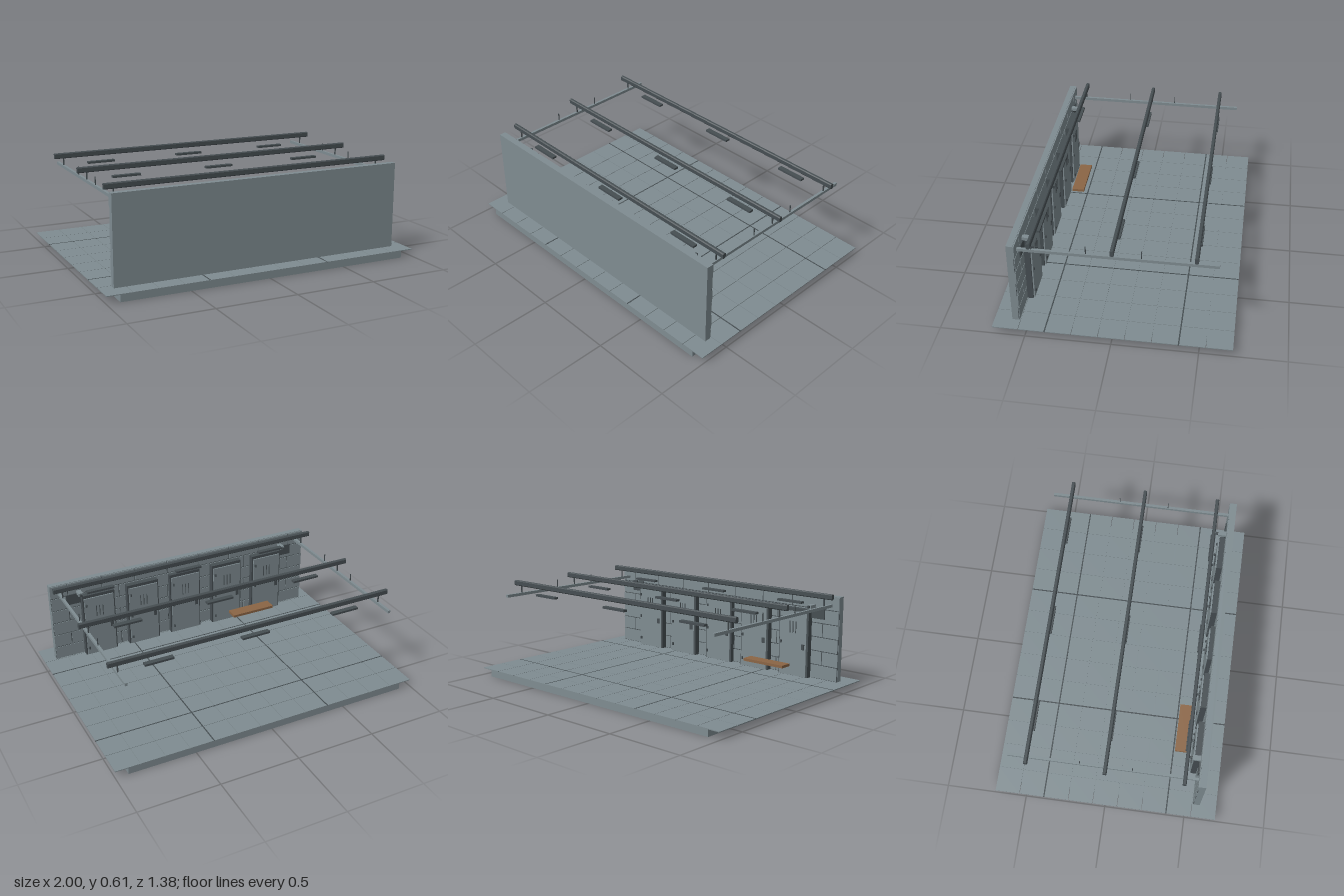
import * as THREE from 'three';

const mat = (name, color) => Object.assign(new THREE.MeshStandardMaterial({ color }), { name });

export function createModel() {
  const root = new THREE.Group();
  root.name = 'cellBlock';
  const stone = mat('stone grey', 0x7f8c91);
  const steel = mat('dark steel', 0x464e52);
  const wood = mat('bench wood', 0x8b6545);

  const group = (name) => {
    const g = new THREE.Group();
    g.name = name;
    root.add(g);
    return g;
  };
  // Box given by its extents on each axis
  const box = (parent, name, m, [x0, x1], [y0, y1], [z0, z1]) => {
    const mesh = new THREE.Mesh(new THREE.BoxGeometry(x1 - x0, y1 - y0, z1 - z0), m);
    mesh.position.set((x0 + x1) / 2, (y0 + y1) / 2, (z0 + z1) / 2);
    mesh.name = name;
    parent.add(mesh);
    return mesh;
  };
  const span = (c, size) => [c - size / 2, c + size / 2];

  // Floor slab with an overhanging layer of tiles
  const floor = group('floor');
  box(floor, 'floorSlab', stone, [-0.92, 0.92], [0, 0.043], [-0.69, 0.69]);
  const pitch = 2 / 13;
  for (let i = -6; i <= 6; i++) {
    for (let j = -4; j <= 4; j++) {
      box(floor, 'floorTile', stone, span(i * pitch, pitch - 0.003), [0.042, 0.047],
        span(j * pitch, pitch - 0.003));
    }
  }
  for (const s of [-1, 1]) {
    box(floor, 'floorSeam', steel, span(s * 2.5 * pitch, 0.008), [0.044, 0.0475], [-0.69, 0.69]);
    box(floor, 'floorSeam', steel, [-1, 1], [0.044, 0.0475], span(s * 2.5 * pitch, 0.008));
  }

  // Wall, with staggered blocks over dark joints on the inner face
  const wall = group('wall');
  box(wall, 'wallSlab', stone, [-0.92, 0.92], [0.045, 0.58], [0.55, 0.588]);
  box(wall, 'wallJoints', steel, [-0.918, 0.918], [0.047, 0.575], [0.547, 0.551]);
  const rows = 6, rowH = 0.533 / rows, blockW = 0.23;
  for (let r = 0; r < rows; r++) {
    const y0 = 0.047 + r * rowH;
    for (let x = -0.92 - (r % 2) * blockW / 2; x < 0.91; x += blockW) {
      box(wall, 'wallBlock', stone,
        [Math.max(-0.92, x + 0.003), Math.min(0.92, x + blockW - 0.003)],
        [y0 + 0.003, y0 + rowH - 0.003], [0.543, 0.55]);
    }
  }

  // Five cell doors with bars, hinges and lock
  for (let i = -2; i <= 2; i++) {
    const door = group('cellDoor');
    door.position.set(i * 2 * pitch, 0, i === 0 ? 0.008 : 0);
    box(door, 'doorFrame', steel, [-0.11, 0.11], [0.047, 0.483], [0.508, 0.545]);
    box(door, 'doorPanel', stone, [-0.1, 0.1], [0.05, 0.463], [0.5, 0.51]);
    for (let b = -1; b <= 1; b++) {
      const bar = new THREE.Mesh(new THREE.CylinderGeometry(0.003, 0.003, 0.075, 8), steel);
      bar.position.set(b * 0.022, 0.363, 0.498);
      bar.name = 'windowBar';
      door.add(bar);
    }
    for (const y of [0.1, 0.26, 0.415]) {
      const hinge = new THREE.Mesh(new THREE.CylinderGeometry(0.006, 0.006, 0.018, 10), steel);
      hinge.position.set(0.088, y, 0.496);
      hinge.name = 'hinge';
      door.add(hinge);
    }
    box(door, 'lock', steel, [-0.088, -0.068], [0.225, 0.26], [0.494, 0.502]);
  }

  // Wall vents with small cameras at both ends
  for (const s of [-1, 1]) {
    const unit = group('wallCamera');
    box(unit, 'ventPlate', steel, span(s * 0.77, 0.1), [0.43, 0.5], [0.535, 0.55]);
    box(unit, 'cameraBody', stone, span(s * 0.735, 0.03), [0.496, 0.517], [0.493, 0.55]);
    box(unit, 'cameraLens', steel, span(s * 0.735, 0.014), [0.5, 0.514], [0.478, 0.494]);
  }

  // Overhead side rails with hangers
  const ceiling = group('overheadFrame');
  for (const s of [-1, 1]) {
    box(ceiling, 'sideRail', stone, span(s * 0.863, 0.016), [0.514, 0.532], [-0.585, 0.55]);
    for (const z of [-0.155, 0.155]) {
      box(ceiling, 'hanger', steel, span(s * 0.863, 0.005), [0.53, 0.58], span(z, 0.005));
    }
  }

  // Cross beams with chamfered edges, each above three lamps
  const profile = new THREE.Shape([
    [-0.006, -0.017], [0.006, -0.017], [0.011, -0.012], [0.011, 0.012],
    [0.006, 0.017], [-0.006, 0.017], [-0.011, 0.012], [-0.011, -0.012],
  ].map(([x, y]) => new THREE.Vector2(x, y)));
  const beamGeo = new THREE.ExtrudeGeometry(profile, { depth: 1.844, bevelEnabled: false });
  beamGeo.translate(0, 0, -0.922).rotateY(Math.PI / 2);
  for (const z of [-0.462, 0, 0.462]) {
    const beam = new THREE.Mesh(beamGeo, steel);
    beam.position.set(0, 0.592, z);
    beam.name = 'crossBeam';
    ceiling.add(beam);
    for (const x of [-0.863, 0.863]) {
      box(ceiling, 'beamPost', steel, span(x, 0.007), [0.53, 0.577], span(z, 0.007));
    }
    for (const x of [-4 * pitch, 0, 4 * pitch]) {
      box(ceiling, 'lamp', steel, span(x, 0.18), [0.527, 0.54], span(z, 0.03));
    }
  }

  // Wooden bench board
  box(root, 'bench', wood, [-0.615, -0.31], [0.113, 0.13], [0.393, 0.472]);

  return root;
}
